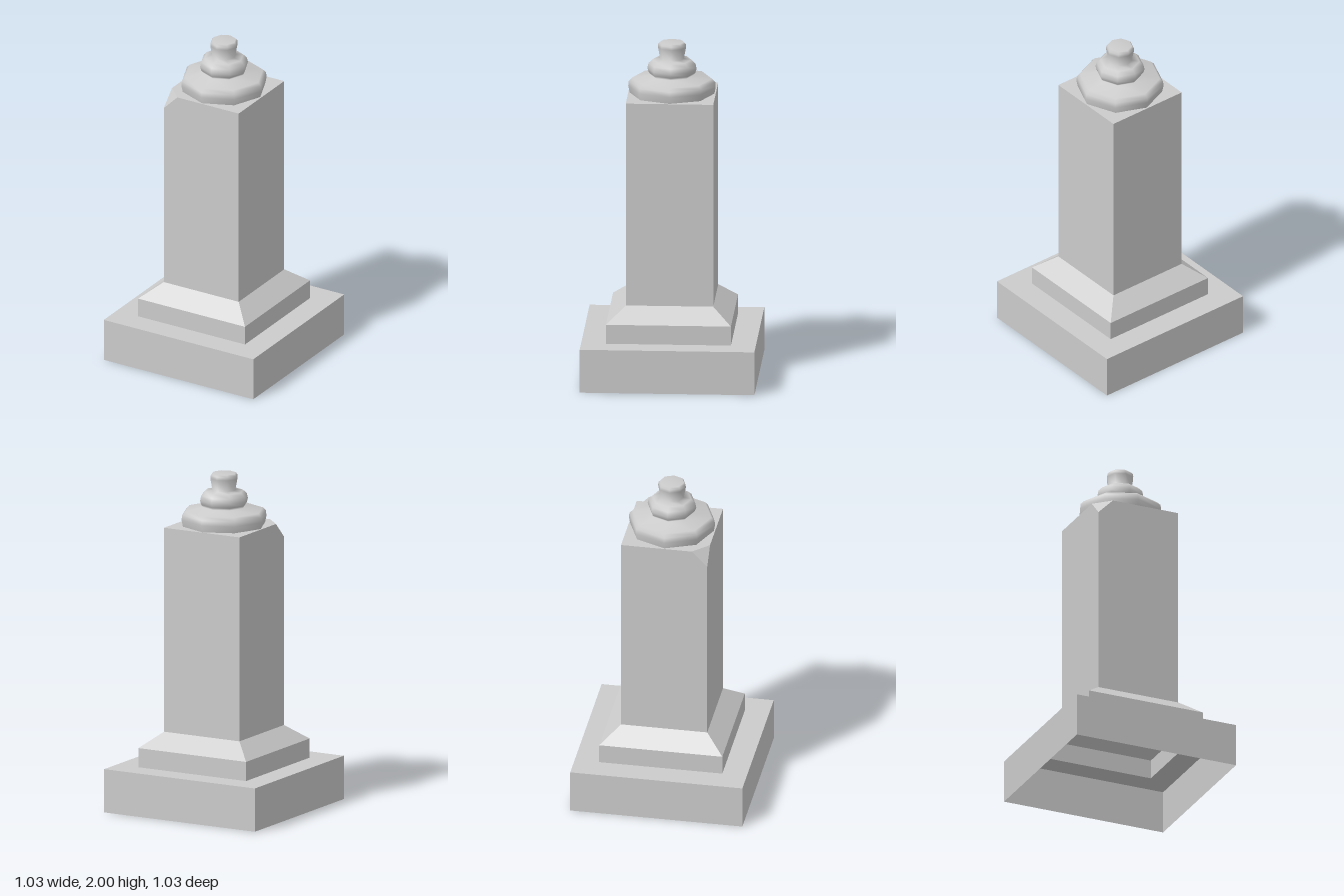
import * as THREE from 'three';

const grey = (flatShading) =>
  new THREE.MeshStandardMaterial({ color: 0xcccccc, flatShading, side: THREE.DoubleSide });

// Flat-faced geometry from convex polygons, each fanned into triangles
function fromPolygons(polygons) {
  const points = [];
  for (const p of polygons)
    for (let i = 1; i < p.length - 1; i++) points.push(p[0], p[i], p[i + 1]);
  const geometry = new THREE.BufferGeometry().setFromPoints(points);
  geometry.computeVertexNormals();
  return geometry;
}

// Square ring of corners: front left, back left, back right, front right
const ring = ([s, y]) =>
  [[s, s], [s, -s], [-s, -s], [-s, s]].map(([x, z]) => new THREE.Vector3(x, y, z));

function addMesh(group, name, geometry, flat) {
  const mesh = new THREE.Mesh(geometry, grey(flat));
  mesh.name = name;
  group.add(mesh);
}

export function createModel() {
  const model = new THREE.Group();
  model.name = 'stonePost';
  const half = 0.257, top = 1.69, shaftFoot = 0.465;

  // Hollow stepped base, open underneath: [half width, height]
  const steps = [[0.513, 0], [0.513, 0.26], [0.367, 0.26], [0.367, 0.375], [half, shaftFoot]];
  const baseFaces = [];
  for (let k = 0; k < steps.length - 1; k++) {
    const lower = ring(steps[k]), upper = ring(steps[k + 1]);
    for (let i = 0; i < 4; i++) {
      const j = (i + 1) % 4;
      baseFaces.push([lower[i], lower[j], upper[j], upper[i]]);
    }
  }
  addMesh(model, 'steppedBase', fromPolygons(baseFaces), true);

  // Square shaft with its front right top corner chipped off
  const chip = 0.093;
  const [a, b, c, d] = ring([half, shaftFoot]);
  const [A, B, C] = ring([half, top]);
  const chipLow = new THREE.Vector3(-half, top - chip, half);
  const chipSide = new THREE.Vector3(-half, top, half - chip);
  const chipFront = new THREE.Vector3(-half + chip, top, half);
  addMesh(model, 'shaft', fromPolygons([
    [a, b, B, A],
    [b, c, C, B],
    [c, d, chipLow, chipSide, C],
    [d, a, A, chipFront, chipLow],
    [A, B, C, chipSide, chipFront],
    [chipLow, chipFront, chipSide],
  ]), true);

  // Eight-sided turned finial
  const profile = [
    [0.249, 1.69], [0.257, 1.73], [0.254, 1.76], [0.235, 1.78], [0.125, 1.80],
    [0.137, 1.815], [0.145, 1.84], [0.138, 1.87], [0.115, 1.893], [0.07, 1.90],
    [0.083, 1.97], [0.081, 1.988], [0.071, 2.0], [0, 2.0],
  ].map(([r, y]) => new THREE.Vector2(r, y));
  addMesh(model, 'finial', new THREE.LatheGeometry(profile, 8), false);

  return model;
}
